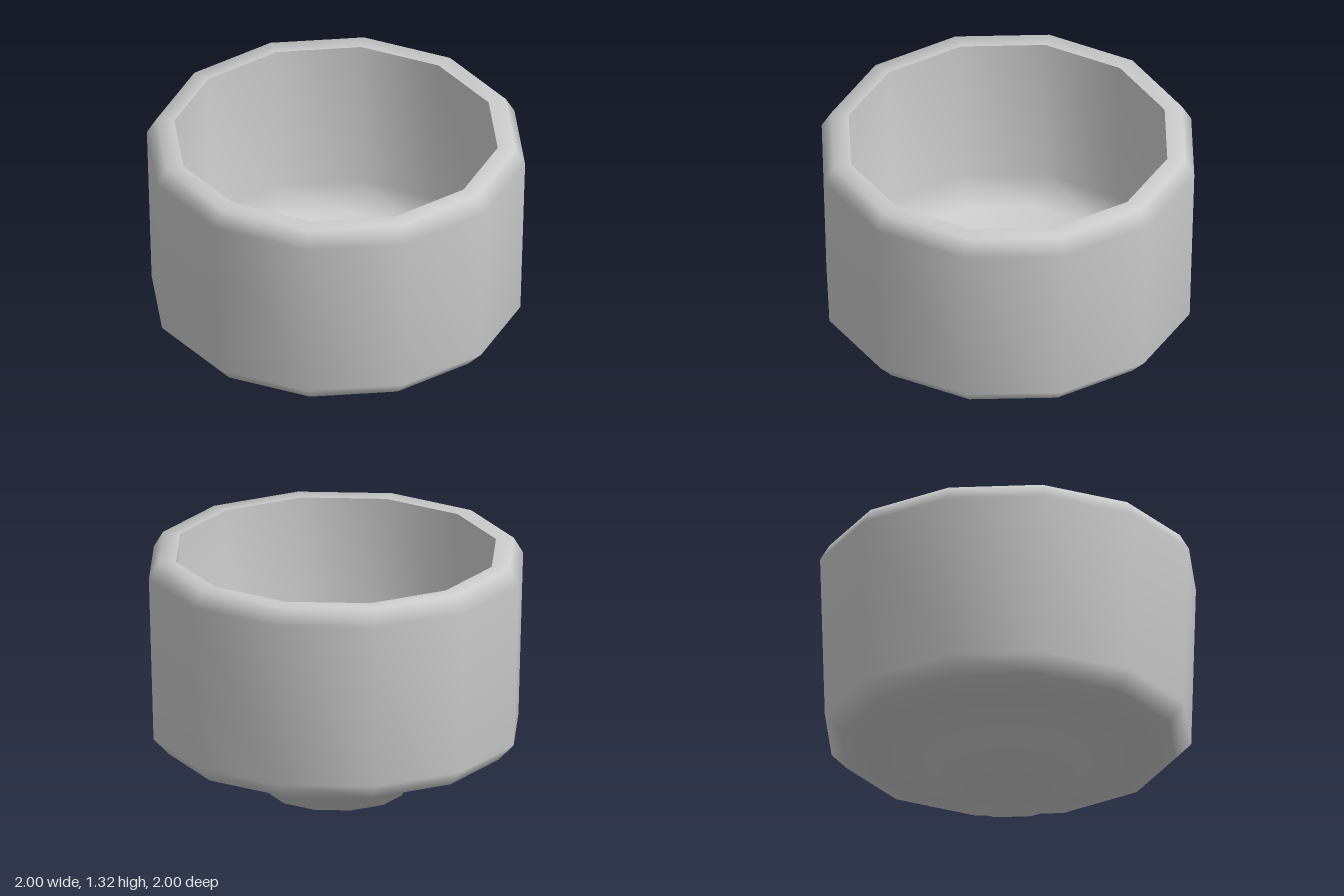
import * as THREE from 'three';

const SIDES = 12;

function turned(name, profile, material) {
  const points = profile.map(([r, y]) => new THREE.Vector2(r, y));
  const mesh = new THREE.Mesh(new THREE.LatheGeometry(points, SIDES), material);
  mesh.name = name;
  return mesh;
}

export function createModel() {
  const group = new THREE.Group();
  group.name = 'bowl';
  const material = new THREE.MeshStandardMaterial({ color: 0xcccccc });

  // Foot, outer wall and chamfered rim, from the base upwards
  group.add(turned('outerBody', [
    [0, 0], [0.365, 0], [0.365, 0.15], [0.74, 0.2], [0.89, 0.25],
    [0.975, 0.34], [1, 1.23], [0.95, 1.315], [0.855, 1.315],
  ], material));

  // Inside wall and rounded floor, from the rim downwards
  group.add(turned('innerBowl', [
    [0.855, 1.315], [0.835, 0.5], [0.72, 0.37], [0.4, 0.31], [0, 0.3],
  ], material));

  return group;
}
